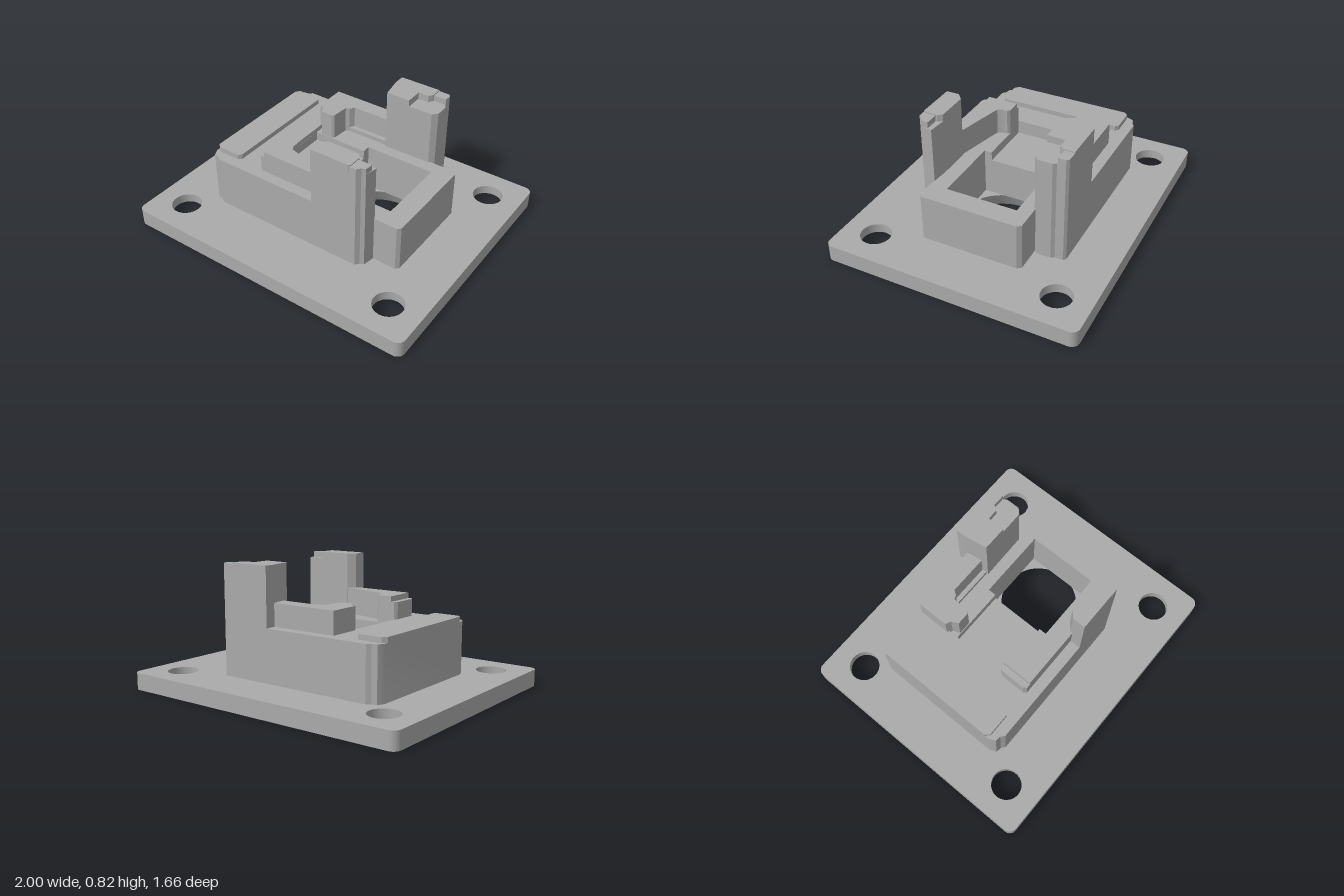
import * as THREE from 'three';
import { toCreasedNormals } from 'three/addons/utils/BufferGeometryUtils.js';

const grey = new THREE.MeshStandardMaterial({ color: 0xaaaaaa });
grey.name = 'grey';

export function createModel() {
  const model = new THREE.Group();
  model.name = 'mountingBracket';

  // plan outlines are given as [x, z]
  const outline = (pts) => new THREE.Shape(pts.map(([x, z]) => new THREE.Vector2(x, -z)));
  const rect = (x0, x1, z0, z1) => [[x0, z1], [x1, z1], [x1, z0], [x0, z0]];
  const circle = (x, z, r) => new THREE.Path().absarc(x, -z, r, 0, Math.PI * 2, true);
  const add = (name, geo) => {
    const mesh = new THREE.Mesh(toCreasedNormals(geo, 0.5), grey);
    mesh.name = name;
    model.add(mesh);
  };
  // raise a plan outline from y0 to y1
  const prism = (name, plan, y0, y1, holes = []) => {
    const shape = Array.isArray(plan) ? outline(plan) : plan;
    shape.holes.push(...holes);
    const geo = new THREE.ExtrudeGeometry(shape, { depth: y1 - y0, bevelEnabled: false, curveSegments: 20 });
    geo.rotateX(-Math.PI / 2).translate(0, y0, 0);
    add(name, geo);
  };

  // base plate with counterbored screw holes and a flared central opening
  const plateShape = () => {
    const s = new THREE.Shape(), X = 1, Z = 0.83, r = 0.05;
    s.absarc(X - r, Z - r, r, 0, Math.PI / 2);
    s.absarc(r - X, Z - r, r, Math.PI / 2, Math.PI);
    s.absarc(r - X, r - Z, r, Math.PI, Math.PI * 1.5);
    s.absarc(X - r, r - Z, r, Math.PI * 1.5, Math.PI * 2);
    return s;
  };
  const cx = 0.305, cz = -0.005;
  const plateHoles = (r) => [
    circle(cx, cz, 0.31),
    ...[-0.78, 0.78].flatMap((x) => [-0.61, 0.61].map((z) => circle(x, z, r))),
  ];
  prism('plateLower', plateShape(), 0, 0.05, plateHoles(0.17));
  prism('plateUpper', plateShape(), 0.05, 0.11, plateHoles(0.097));
  const flare = [[0.31, 0.11], [0.255, 0.11], [0.31, 0]].map(([x, y]) => new THREE.Vector2(x, y));
  add('flaredOpening', new THREE.LatheGeometry(flare, 40).translate(cx, 0, cz));

  // outer housing: end wall and two arms
  prism('housing', [
    [-0.68, 0.385], [-0.66, 0.43], [-0.625, 0.435], [-0.6, 0.455], [0.2, 0.455], [0.2, 0.34],
    [-0.31, 0.34], [-0.31, -0.325], [0.2, -0.325], [0.2, -0.53], [-0.6, -0.53], [-0.625, -0.51],
    [-0.66, -0.505], [-0.68, -0.46],
  ], 0.11, 0.45);
  prism('endRidge', [
    [-0.68, 0.36], [-0.655, 0.385], [-0.505, 0.385], [-0.485, 0.365],
    [-0.485, -0.44], [-0.505, -0.46], [-0.655, -0.46], [-0.68, -0.435],
  ], 0.45, 0.483);

  // inner block: square well, with a shallow channel leading to it
  const well = rect(0.07, 0.54, -0.24, 0.23);
  const notched = [
    [-0.31, 0.34], [0.655, 0.345], [0.675, 0.325], [0.675, -0.305], [0.655, -0.33], [-0.31, -0.33],
  ];
  prism('innerBlockBase', notched, 0.11, 0.36, [outline(well)]);
  prism('innerBlockTop', notched, 0.36, 0.42, [outline([
    [-0.309, 0.18], [0.07, 0.18], [0.07, 0.23], [0.54, 0.23],
    [0.54, -0.24], [0.07, -0.24], [0.07, -0.185], [-0.309, -0.185],
  ])]);

  // hooked side walls
  prism('frontHookWall', [
    [-0.285, 0.385], [0.15, 0.385], [0.17, 0.335], [0.1, 0.32], [-0.16, 0.26],
    [-0.175, 0.23], [-0.175, 0.195], [-0.19, 0.18], [-0.285, 0.18],
  ], 0.42, 0.595);
  prism('frontHookStep', [
    [-0.285, 0.385], [-0.285, 0.18], [-0.31, 0.18], [-0.325, 0.2], [-0.325, 0.365], [-0.31, 0.385],
  ], 0.42, 0.56);
  prism('backHookWall', [
    [-0.325, -0.46], [0.15, -0.46], [0.16, -0.32], [0.14, -0.355], [-0.12, -0.355], [-0.14, -0.325],
    [-0.165, -0.315], [-0.175, -0.2], [-0.19, -0.19], [-0.27, -0.19], [-0.29, -0.235], [-0.325, -0.25],
  ], 0.42, 0.595);

  // front tower: full-height part, ledge and small tab
  prism('frontTower', [
    [0.125, 0.455], [0.44, 0.455], [0.46, 0.43], [0.485, 0.42], [0.5, 0.34],
    [0.39, 0.33], [0.17, 0.33], [0.125, 0.37],
  ], 0.11, 0.78);
  prism('frontTowerTop', [
    [0.125, 0.455], [0.39, 0.455], [0.4, 0.44], [0.4, 0.36], [0.38, 0.33], [0.17, 0.33], [0.125, 0.37],
  ], 0.78, 0.825);
  prism('frontTowerTab', [
    [0.395, 0.455], [0.44, 0.455], [0.46, 0.43], [0.485, 0.42], [0.49, 0.37], [0.395, 0.37],
  ], 0.78, 0.818);

  // back tower, wider with a deeper ledge
  prism('backTower', [
    [0.125, -0.53], [0.47, -0.53], [0.485, -0.515], [0.485, -0.46], [0.5, -0.44],
    [0.5, -0.35], [0.47, -0.32], [0.15, -0.315], [0.125, -0.46],
  ], 0.11, 0.78);
  prism('backTowerTop', [
    [0.125, -0.53], [0.4, -0.53], [0.4, -0.46], [0.38, -0.43], [0.31, -0.43],
    [0.31, -0.315], [0.15, -0.315], [0.125, -0.46],
  ], 0.78, 0.825);
  prism('backTowerTab', [
    [0.395, -0.53], [0.47, -0.53], [0.485, -0.515], [0.485, -0.465], [0.395, -0.465],
  ], 0.78, 0.818);

  return model;
}
